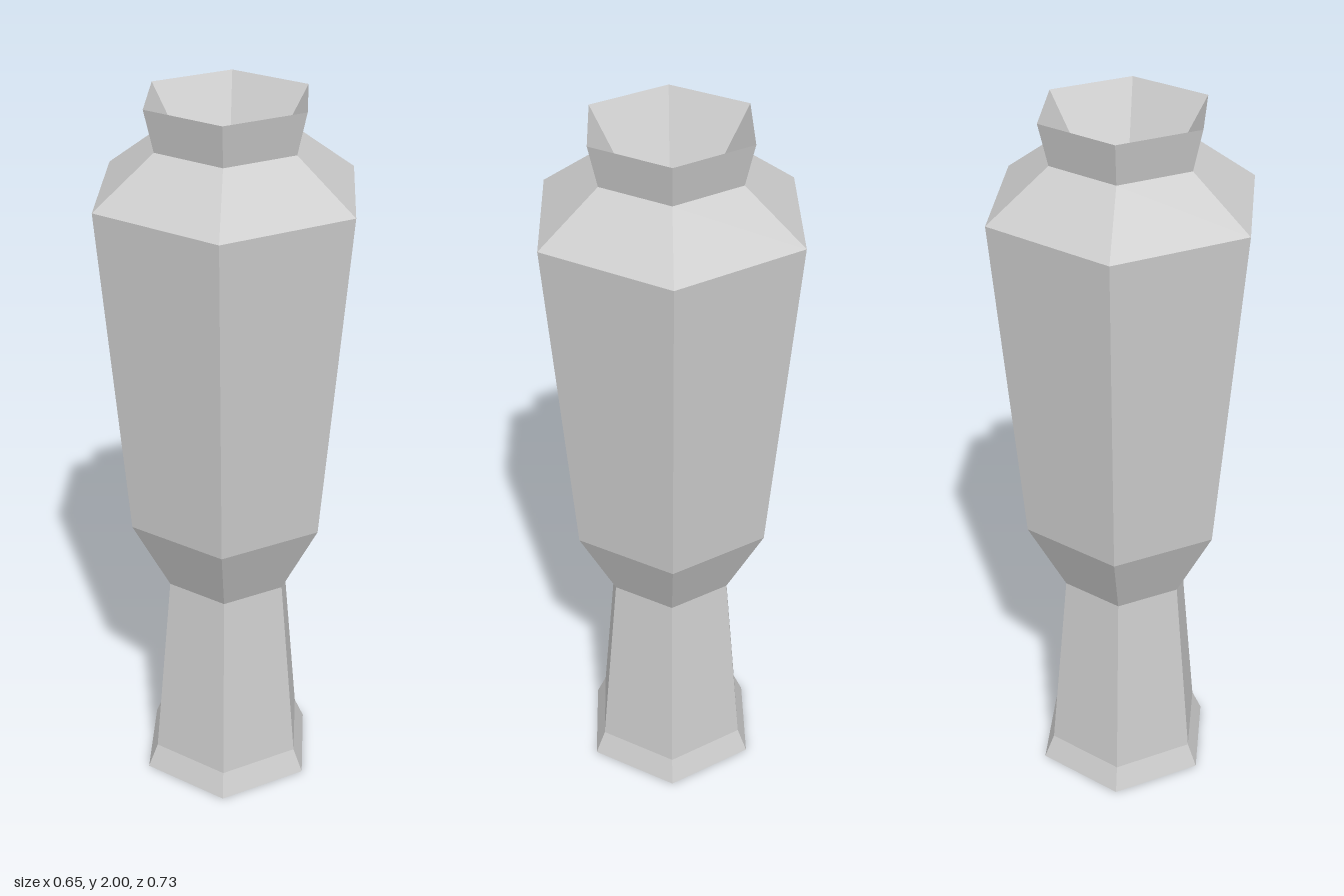
import * as THREE from 'three';

const SIDES = 6;
const TURN = 0.041; // slight twist of the hexagon about the vertical axis

export function createModel() {
  const group = new THREE.Group();
  group.name = 'vase';

  const stone = new THREE.MeshStandardMaterial({
    color: 0xcccccc, flatShading: true, side: THREE.DoubleSide,
  });
  stone.name = 'pale grey';

  // Revolve a [radius, height] profile into a six-sided part
  const addPart = (name, profile) => {
    const points = profile.map(([r, y]) => new THREE.Vector2(r, y));
    const mesh = new THREE.Mesh(new THREE.LatheGeometry(points, SIDES, TURN), stone);
    mesh.name = name;
    group.add(mesh);
  };

  // Flared foot and tapering stem, open underneath
  addPart('foot', [[0.262, 0], [0.232, 0.07], [0.18, 0.63]]);
  // Body widening to the shoulder
  addPart('body', [[0.18, 0.63], [0.289, 0.85], [0.366, 1.765]]);
  // Sloping shoulder and flared neck
  addPart('neck', [[0.366, 1.765], [0.199, 1.89], [0.225, 2]]);
  // Funnel-shaped mouth running down to a point
  addPart('mouth', [[0.225, 2], [0, 1.63]]);

  return group;
}
